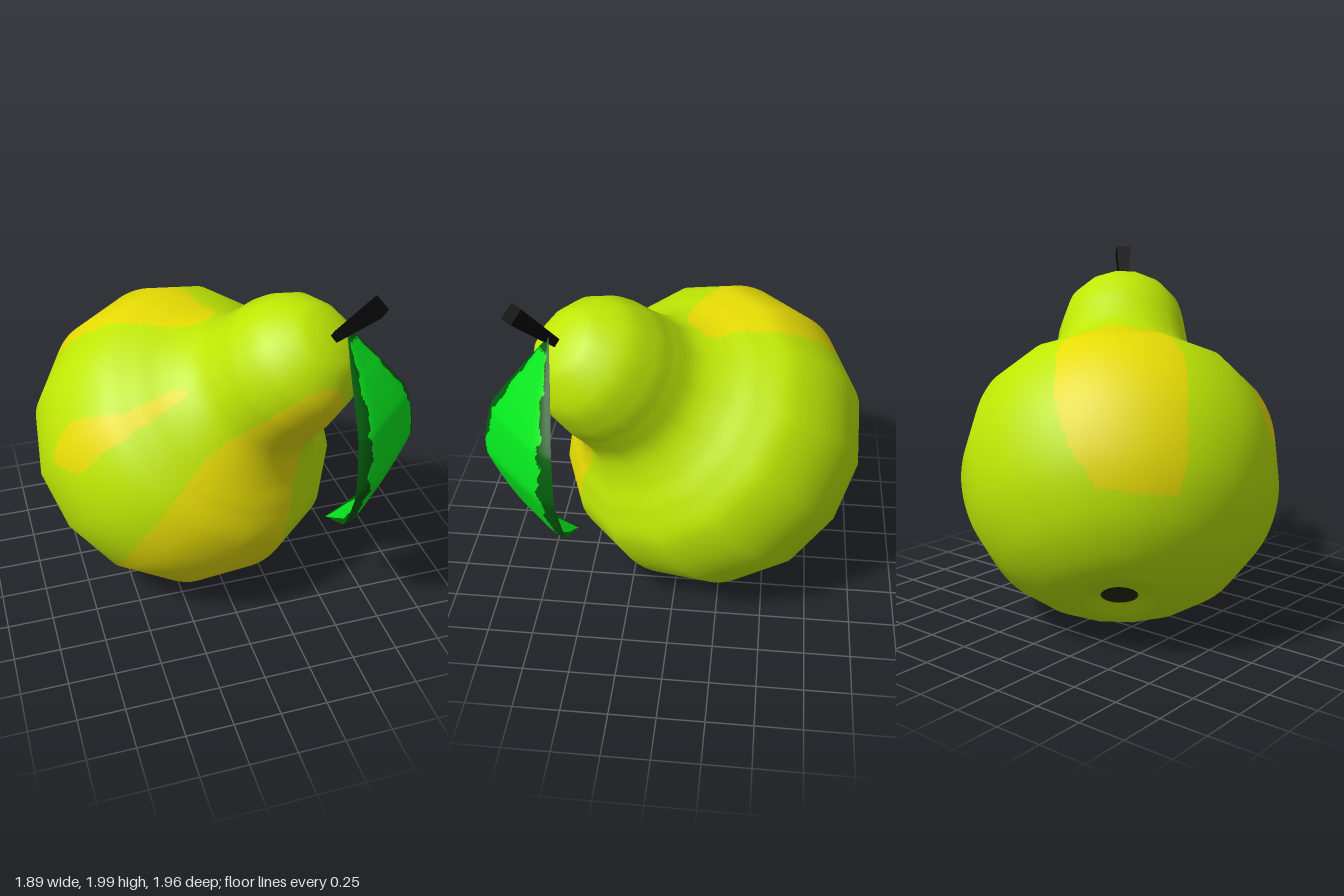
import * as THREE from 'three';

const mat = (name, color, side = THREE.FrontSide) => {
  const m = new THREE.MeshStandardMaterial({ color, side });
  m.name = name;
  return m;
};

// Point-in-polygon test on a short outline
function inside(poly, a, b) {
  let hit = false;
  for (let i = 0, j = poly.length - 1; i < poly.length; j = i++) {
    const [ax, ay] = poly[i], [bx, by] = poly[j];
    if ((ay > b) !== (by > b) && a < ((bx - ax) * (b - ay)) / (by - ay) + ax) hit = !hit;
  }
  return hit;
}

// Smooth closed outline through a few points
const outline = (pts) =>
  new THREE.CatmullRomCurve3(pts.map(([x, y]) => new THREE.Vector3(x, y, 0)), true)
    .getPoints(60).map((p) => [p.x, p.y]);

// Sorts triangles into material groups by a rule on centroid position, normal and uv
function paint(geo, count, rule) {
  const buckets = Array.from({ length: count }, () => []);
  const { position, normal, uv } = geo.attributes;
  const idx = geo.index.array;
  const p = new THREE.Vector3(), n = new THREE.Vector3(), v = new THREE.Vector3();
  for (let i = 0; i < idx.length; i += 3) {
    p.set(0, 0, 0); n.set(0, 0, 0);
    let s = 0, t = 0;
    for (let k = 0; k < 3; k++) {
      p.add(v.fromBufferAttribute(position, idx[i + k]));
      n.add(v.fromBufferAttribute(normal, idx[i + k]));
      s += uv.getX(idx[i + k]) / 3; t += uv.getY(idx[i + k]) / 3;
    }
    buckets[rule(p.divideScalar(3), n.normalize(), s, t)].push(idx[i], idx[i + 1], idx[i + 2]);
  }
  geo.setIndex(buckets.flat());
  geo.clearGroups();
  let start = 0;
  buckets.forEach((b, m) => { geo.addGroup(start, b.length, m); start += b.length; });
  return geo;
}

export function createModel() {
  const group = new THREE.Group();
  const skin = mat('pearGreen', 0xbfe604);
  const blush = mat('ripeYellow', 0xe6dc04);
  const blossom = mat('blossomDark', 0x24280a);
  const leafGreen = mat('leafGreen', 0x06ea1e, THREE.DoubleSide);
  const leafDark = mat('leafEdgeGreen', 0x045c0c, THREE.DoubleSide);
  const black = mat('stemBlack', 0x070707);

  // Fruit: lathed profile with a 14-sided outline, tilted to one side
  const center = new THREE.Vector3(-0.11, 0.825, -0.17);
  const axis = new THREE.Vector3(0.43, 0.715, 0.55).normalize();
  const up = new THREE.Vector3(0, 1, 0);
  const tilt = new THREE.Quaternion().setFromUnitVectors(up, axis);
  const profile = new THREE.SplineCurve([
    [0, -0.7], [0.1, -0.715], [0.24, -0.74], [0.42, -0.685], [0.6, -0.565], [0.755, -0.37],
    [0.84, -0.12], [0.84, 0.12], [0.765, 0.34], [0.64, 0.47], [0.525, 0.56], [0.445, 0.645],
    [0.4, 0.73], [0.38, 0.85], [0.365, 0.98], [0.315, 1.13], [0.2, 1.25], [0.1, 1.29], [0, 1.3],
  ].map(([r, y]) => new THREE.Vector2(r, y))).getPoints(150);
  profile.forEach((p) => { p.x = Math.max(p.x, 0); });
  const SIDES = 14, step = (Math.PI * 2) / SIDES;
  const fruitGeo = new THREE.LatheGeometry(profile, SIDES * 12);
  const pos = fruitGeo.attributes.position;
  for (let i = 0; i < pos.count; i++) {
    const a = Math.atan2(pos.getX(i), pos.getZ(i)) + Math.PI * 2;
    const k = Math.cos(step / 2) / Math.cos((a % step) - step / 2);
    pos.setX(i, pos.getX(i) * k);
    pos.setZ(i, pos.getZ(i) * k);
  }
  fruitGeo.rotateY(0.055).applyQuaternion(tilt).translate(center.x, center.y, center.z);

  // Ripe patches: two outlined from the front, one from above
  const frontPatch = outline([
    [-0.66, 0.22], [-0.62, 0.41], [-0.55, 0.65], [-0.39, 0.92], [-0.2, 1.11], [0.01, 1.275],
    [0.14, 1.44], [0.275, 1.54], [0.41, 1.54], [0.47, 1.45], [0.42, 1.2], [0.37, 1.0],
    [0.31, 0.84], [0.265, 0.6], [0.22, 0.39], [0.14, 0.2], [0, 0.04], [-0.1, -0.05], [-0.45, 0.02],
  ]);
  const streak = outline([
    [-0.89, 0.97], [-0.81, 1.18], [-0.7, 1.275], [-0.47, 1.35], [-0.22, 1.42],
    [-0.31, 1.35], [-0.52, 1.25], [-0.68, 1.13], [-0.81, 0.98],
  ]);
  const topPatch = outline([
    [-0.81, -0.58], [-0.705, -0.76], [-0.55, -0.87], [-0.39, -0.89], [-0.23, -0.82],
    [-0.1, -0.66], [-0.02, -0.5], [0.005, -0.32], [0.07, -0.16], [-0.02, -0.05],
    [-0.15, -0.04], [-0.34, -0.12], [-0.6, -0.29], [-0.78, -0.5],
  ]);
  const rel = new THREE.Vector3();
  paint(fruitGeo, 3, (p, n) => {
    rel.copy(p).sub(center);
    const along = rel.dot(axis);
    if (along < 0 && rel.lengthSq() - along * along < 0.0081) return 2;
    const front = n.z > -0.04 && p.z > -0.22;
    if (front && (inside(frontPatch, p.x, p.y) || inside(streak, p.x, p.y))) return 1;
    return p.y > 1.0 + 0.12 * p.x && n.y > 0 && inside(topPatch, p.x, p.z) ? 1 : 0;
  });
  const fruit = new THREE.Mesh(fruitGeo, [skin, blush, blossom]);
  fruit.name = 'fruit';
  group.add(fruit);

  // Stem: short flared square peg along the fruit's axis
  const base = new THREE.Vector3(0.447, 1.73, 0.545), tip = new THREE.Vector3(0.588, 1.965, 0.712);
  const stem = new THREE.Mesh(
    new THREE.CylinderGeometry(0.062, 0.03, base.distanceTo(tip), 4).toNonIndexed(), black);
  stem.geometry.computeVertexNormals();
  stem.position.copy(base).add(tip).multiplyScalar(0.5);
  stem.quaternion.setFromUnitVectors(up, tip.clone().sub(base).normalize());
  stem.name = 'stem';
  group.add(stem);

  // Leaf: sheet stretched between two edge curves, its rim curled back toward the fruit
  const edge = (pts) => new THREE.CatmullRomCurve3(
    pts.map((p) => new THREE.Vector3(...p)), false, 'catmullrom', 0.22);
  const leftEdge = edge([[0.5, 0.59, 0.5], [0.465, 0.79, 0.81], [0.435, 1.09, 0.97],
    [0.455, 1.37, 0.9], [0.475, 1.6, 0.73], [0.5, 1.8, 0.57]]);
  const rightEdge = edge([[0.5, 0.59, 0.5], [0.79, 0.79, 0.5], [0.94, 1.13, 0.505],
    [0.88, 1.37, 0.515], [0.69, 1.6, 0.54], [0.5, 1.8, 0.57]]);
  const leafGeo = new THREE.PlaneGeometry(2, 1, 48, 64);
  const lp = leafGeo.attributes.position;
  for (let i = 0; i < lp.count; i++) {
    const u = lp.getX(i), v = THREE.MathUtils.clamp(lp.getY(i) + 0.5, 0, 1);
    const q = leftEdge.getPoint(v).lerp(rightEdge.getPoint(v), (u + 1) / 2);
    const bulge = 0.032 * (1 - u ** 6) * Math.sin(Math.PI * v);
    lp.setXYZ(i, q.x + bulge, q.y, q.z + bulge);
  }
  leafGeo.computeVertexNormals();
  paint(leafGeo, 2, (p, n, s, v) => {
    const u = Math.abs(s * 2 - 1);
    const ragged = 0.76 + 0.05 * Math.sin(v * 43 + s * 5) + 0.03 * Math.sin(v * 97);
    const band = v > 0.13 && v < 0.19 && u > 0.35;
    return u > ragged || v > 0.93 || band ? 1 : 0;
  });
  const leaf = new THREE.Mesh(leafGeo, [leafGreen, leafDark]);
  leaf.name = 'leaf';
  group.add(leaf);

  return group;
}
